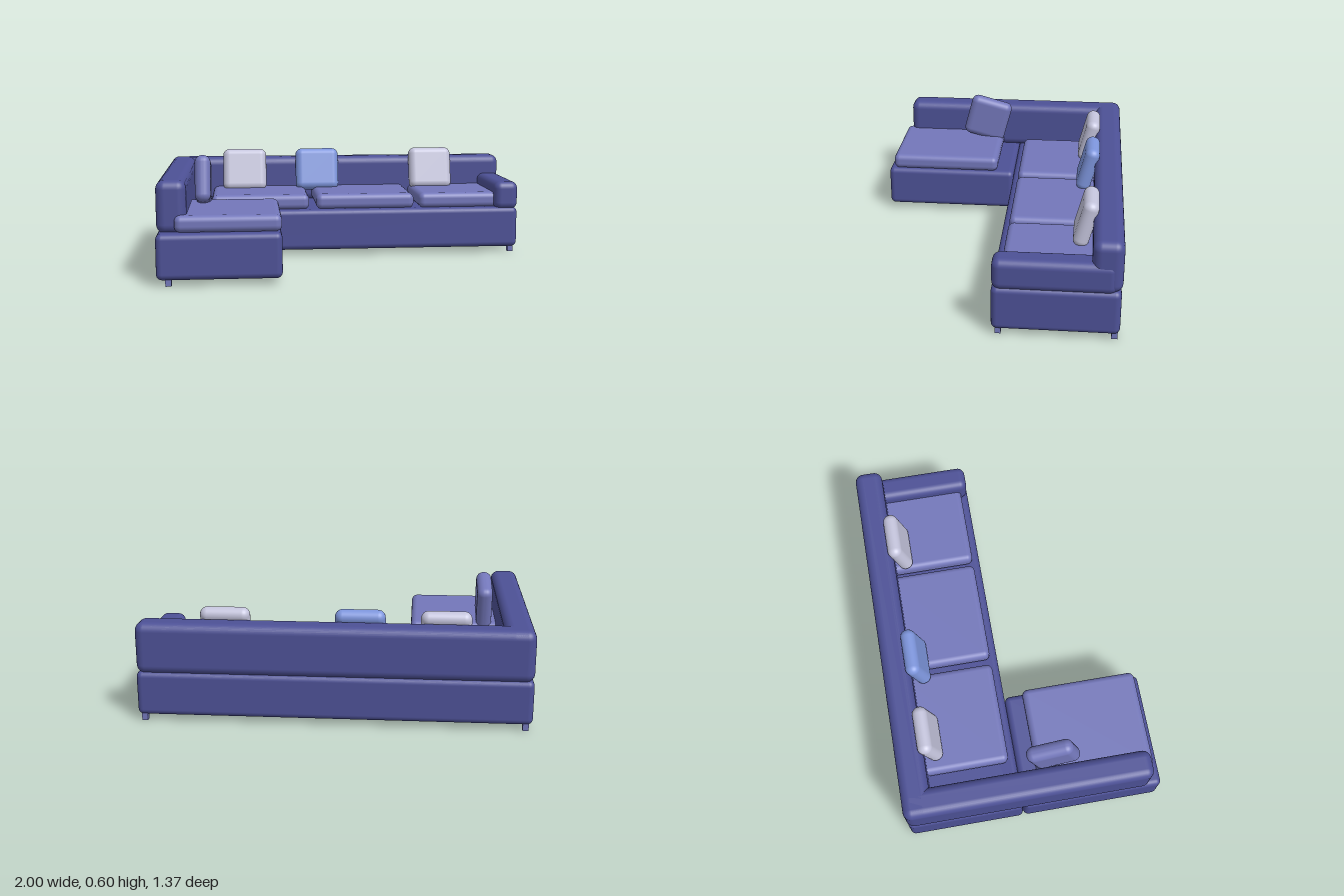
import * as THREE from 'three';
import { RoundedBoxGeometry } from 'three/addons/geometries/RoundedBoxGeometry.js';

const material = (name, color) => {
  const m = new THREE.MeshStandardMaterial({ color });
  m.name = name;
  return m;
};

export function createModel() {
  const sofa = new THREE.Group();
  sofa.name = 'cornerSofa';
  const navy = material('navyFabric', 0x4d5196);
  const violet = material('violetFabric', 0x7377ba);
  const grey = material('paleGreyFabric', 0xc4c4dc);
  const blue = material('blueFabric', 0x7d95dc);

  // Soft block given by its extents [min, max] on each axis
  function block(name, mat, [x0, x1], [y0, y1], [z0, z1], radius) {
    const geometry = new RoundedBoxGeometry(x1 - x0, y1 - y0, z1 - z0, 4, radius);
    const mesh = new THREE.Mesh(geometry, mat);
    mesh.position.set((x0 + x1) / 2, (y0 + y1) / 2, (z0 + z1) / 2);
    mesh.name = name;
    sofa.add(mesh);
    return mesh;
  }

  // Bases
  block('mainBase', navy, [-1, 0.995], [0.03, 0.26], [-0.68, -0.06], 0.03);
  block('chaiseBase', navy, [-1, -0.38], [0.03, 0.26], [-0.06, 0.685], 0.03);

  // Backrest, long side rest and low arm
  block('backrest', navy, [-1, 0.993], [0.25, 0.515], [-0.685, -0.535], 0.045);
  block('sideRest', navy, [-1, -0.85], [0.25, 0.515], [-0.685, 0.62], 0.045);
  block('armrest', navy, [0.862, 0.998], [0.245, 0.405], [-0.66, -0.062], 0.04);

  // Seat cushions
  for (const span of [[-0.75, -0.2], [-0.16, 0.4], [0.43, 0.9]]) {
    block('seatCushion', violet, span, [0.255, 0.342], [-0.6, -0.1], 0.032);
  }
  block('chaiseCushion', violet, [-0.91, -0.38], [0.26, 0.345], [0.035, 0.655], 0.032);

  // Loose pillows leaning on the backrest
  for (const [x, mat] of [[-0.562, grey], [-0.13, blue], [0.557, grey]]) {
    const pillow = block('pillow', mat, [x - 0.128, x + 0.128], [0.32, 0.57], [-0.54, -0.46], 0.039);
    pillow.rotation.x = -0.26;
  }

  // Pillow leaning on the side rest, turned in its own plane
  const sidePillow = block('sidePillow', violet, [-0.825, -0.741], [0.33, 0.58], [0.003, 0.253], 0.039);
  sidePillow.rotation.x = -0.26;

  // Feet
  const footGeometry = new THREE.BoxGeometry(0.03, 0.04, 0.03);
  for (const [x, z] of [[-0.965, -0.655], [0.96, -0.655], [0.96, -0.093], [-0.94, 0.655]]) {
    const foot = new THREE.Mesh(footGeometry, violet);
    foot.position.set(x, 0.02, z);
    foot.name = 'foot';
    sofa.add(foot);
  }
  return sofa;
}
